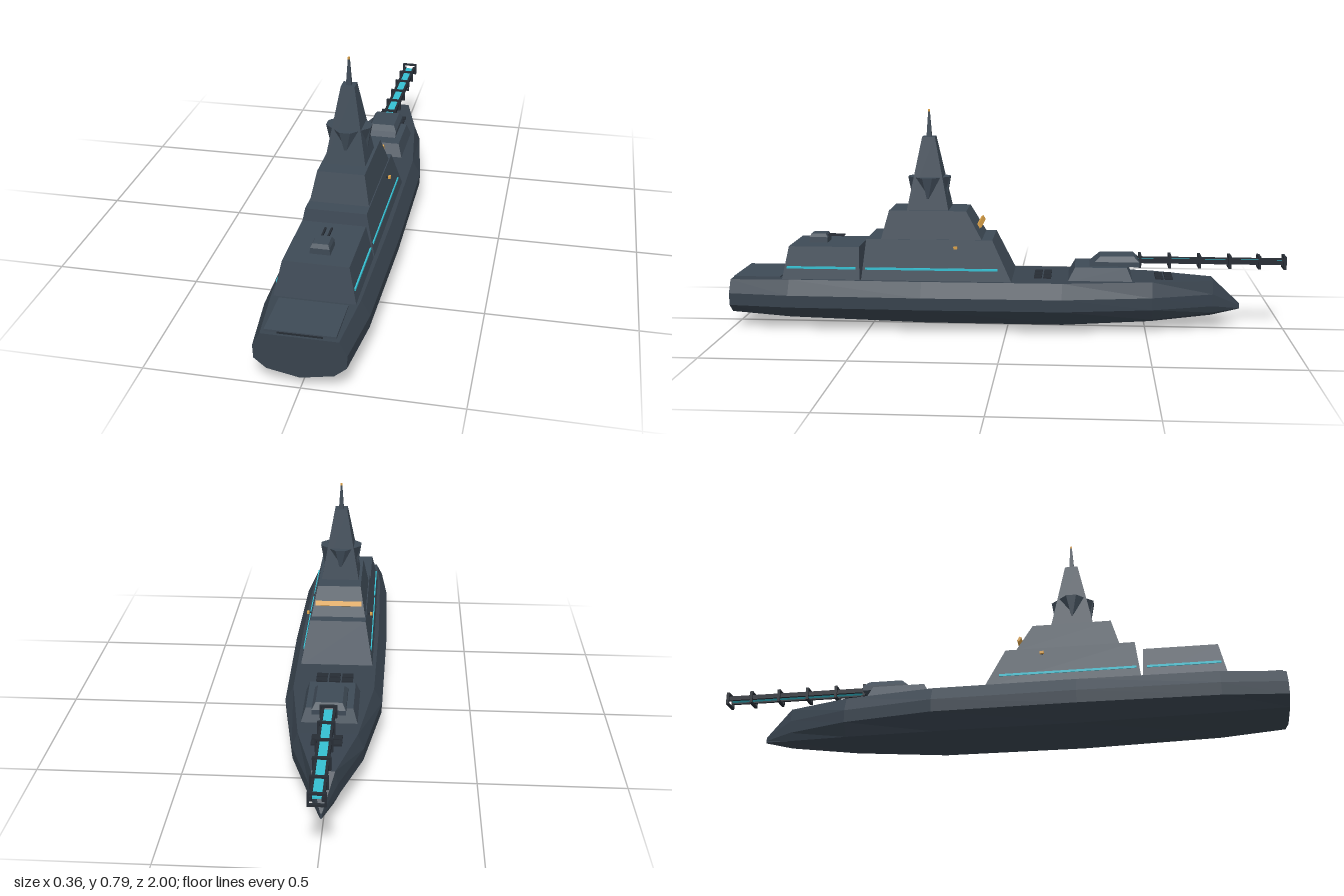
import * as THREE from 'three';

const paint = (name, color) => {
  const m = new THREE.MeshStandardMaterial({ color });
  m.name = name;
  return m;
};

// Skin through matching rings of [x, y, z]; rings run counter-clockwise about the travel axis.
function loft(rings) {
  const p = [];
  const tri = (a, b, c) => p.push(...a, ...b, ...c);
  const n = rings[0].length;
  for (let i = 0; i < rings.length - 1; i++) {
    const a = rings[i], b = rings[i + 1];
    for (let j = 0; j < n; j++) {
      const k = (j + 1) % n;
      tri(a[j], a[k], b[k]);
      tri(a[j], b[k], b[j]);
    }
  }
  const first = rings[0], last = rings[rings.length - 1];
  for (let j = 1; j < n - 1; j++) {
    tri(last[0], last[j], last[j + 1]);
    tri(first[0], first[j + 1], first[j]);
  }
  const g = new THREE.BufferGeometry();
  g.setAttribute('position', new THREE.Float32BufferAttribute(p, 3));
  g.computeVertexNormals();
  return g;
}

// Tapered block from levels of [y, half width, z at bow side, z at stern side].
const tier = (...levels) => loft(levels.map(([y, w, z0, z1]) =>
  [[-w, y, z1], [w, y, z1], [w, y, z0], [-w, y, z0]]));

export function createModel() {
  const root = new THREE.Group();
  root.name = 'warship';
  const hullGrey = paint('hull grey', 0x38434e);
  const grey = paint('superstructure grey', 0x3e4a56);
  const dark = paint('dark metal', 0x262c34);
  const cyan = paint('energy cyan', 0x35c0d2);
  const amber = paint('amber light', 0xd9a048);

  const add = (name, geo, mat, parent = root) => {
    const m = new THREE.Mesh(geo, mat);
    m.name = name;
    parent.add(m);
    return m;
  };
  const box = (name, w, h, d, x, y, z, mat, parent) => {
    const m = add(name, new THREE.BoxGeometry(w, h, d), mat, parent);
    m.position.set(x, y, z);
    return m;
  };

  // Hull: stations of [z, half beam, keel y, deck y]
  const stations = [
    [-0.74, 0.046, 0.05, 0.185], [-0.52, 0.12, 0.022, 0.19], [-0.2, 0.173, 0.002, 0.19],
    [0.3, 0.178, 0.002, 0.19], [0.78, 0.17, 0.02, 0.19], [1, 0.145, 0.04, 0.183],
  ];
  const rings = stations.map(([z, w, k, d]) => {
    const half = [[0.72 * w, k + (0.09 - k) * 0.41], [0.985 * w, 0.093], [w, 0.137], [0.83 * w, d]];
    return [[0, k, z], ...half.map(([x, y]) => [x, y, z]),
      ...half.reverse().map(([x, y]) => [-x, y, z])];
  });
  const stemY = [0.075, 0.077, 0.083, 0.088, 0.095, 0.095, 0.088, 0.083, 0.077];
  rings.unshift(stemY.map((y, i) => [i === 0 ? 0 : i < 5 ? 0.003 : -0.003, y, -0.84]));
  add('hull', loft(rings), hullGrey);

  // Flight deck at the stern
  box('flightDeck', 0.22, 0.008, 0.17, 0, 0.189, 0.905, grey);
  box('sternSill', 0.14, 0.006, 0.008, 0, 0.186, 0.988, dark);

  // Superstructure, bridge, hangar
  add('lowerSuperstructure', tier([0.185, 0.133, -0.022, 0.52], [0.335, 0.103, 0.05, 0.503]), grey);
  add('bridge', tier([0.335, 0.1, 0.088, 0.45], [0.435, 0.08, 0.145, 0.423]), grey);
  add('hangar', tier([0.185, 0.132, 0.525, 0.808], [0.305, 0.106, 0.53, 0.785]), grey);
  box('superstructureSeam', 0.25, 0.006, 0.01, 0, 0.193, 0.523, dark);
  const glass = box('bridgeWindow', 0.17, 0.018, 0.008, 0, 0.385, 0.097, amber);
  glass.rotation.x = 0.52;

  // Mast and spire
  add('mast', tier([0.435, 0.07, 0.21, 0.36], [0.695, 0.023, 0.262, 0.308]), grey);
  add('spire', tier([0.695, 0.009, 0.276, 0.294], [0.785, 0.003, 0.282, 0.288]), grey);
  box('mastheadLight', 0.007, 0.008, 0.007, 0, 0.788, 0.285, amber);

  // Wedge-shaped sensor on each face of the mast
  const wedge = loft([
    [[-0.003, 0.475, 0.064], [0.003, 0.475, 0.064], [0.003, 0.475, 0.05], [-0.003, 0.475, 0.05]],
    [[-0.018, 0.551, 0.076], [0.018, 0.551, 0.076], [0.047, 0.551, 0.046], [-0.047, 0.551, 0.046]],
  ]);
  for (let i = 0; i < 4; i++) {
    const s = add('mastSensor', wedge, grey);
    s.position.z = 0.285;
    s.rotation.y = i * Math.PI / 2;
  }

  // Glowing side stripes and navigation lights
  for (const side of [-1, 1]) {
    for (const [z0, z1, x] of [[0.03, 0.505, 0.1245], [0.54, 0.79, 0.1235]])
      box('sideStripe', 0.005, 0.008, z1 - z0, side * x, 0.231, (z0 + z1) / 2, cyan);
    box('navigationLight', 0.009, 0.009, 0.014, side * 0.12, 0.31, 0.18, amber);
    box('lightBracket', 0.014, 0.004, 0.006, side * 0.112, 0.309, 0.18, dark);
  }

  // Small twin gun on the hangar roof
  const aft = new THREE.Group();
  aft.name = 'aftGun';
  root.add(aft);
  add('aftTurret', tier([0.305, 0.033, 0.66, 0.728], [0.325, 0.031, 0.66, 0.728],
    [0.338, 0.025, 0.668, 0.72]), grey, aft);
  for (const x of [-0.01, 0.01]) box('aftBarrel', 0.006, 0.006, 0.07, x, 0.329, 0.638, dark, aft);

  // Missile hatches: two banks, each two rows of three
  for (const [zc, dx] of [[-0.128, 0.046], [-0.565, 0.036]])
    for (let r = 0; r < 2; r++)
      for (let c = -1; c <= 1; c++)
        box('missileHatch', dx - 0.006, 0.008, 0.028, c * dx, 0.191, zc + (r - 0.5) * 0.034, dark);

  // Forward turret
  const gun = new THREE.Group();
  gun.name = 'railGun';
  root.add(gun);
  add('turretBase', tier([0.185, 0.097, -0.452, -0.218], [0.236, 0.08, -0.43, -0.245]), grey, gun);
  add('turretHouse', tier([0.235, 0.057, -0.475, -0.295], [0.252, 0.057, -0.475, -0.315],
    [0.271, 0.045, -0.455, -0.335]), grey, gun);

  // Twin rails with a glowing core, square clamps along the length
  box('railCore', 0.03, 0.006, 0.52, 0, 0.251, -0.73, cyan, gun);
  for (const side of [-1, 1]) box('rail', 0.009, 0.016, 0.53, side * 0.019, 0.251, -0.732, dark, gun);
  for (const z of [-0.478, -0.585, -0.692, -0.8, -0.905, -0.995]) {
    for (const side of [-1, 1]) {
      box('clampPost', 0.007, 0.044, 0.01, side * 0.026, 0.25, z, dark, gun);
      box('clampBar', 0.058, 0.007, 0.01, 0, 0.25 + side * 0.0195, z, dark, gun);
    }
  }
  return root;
}
